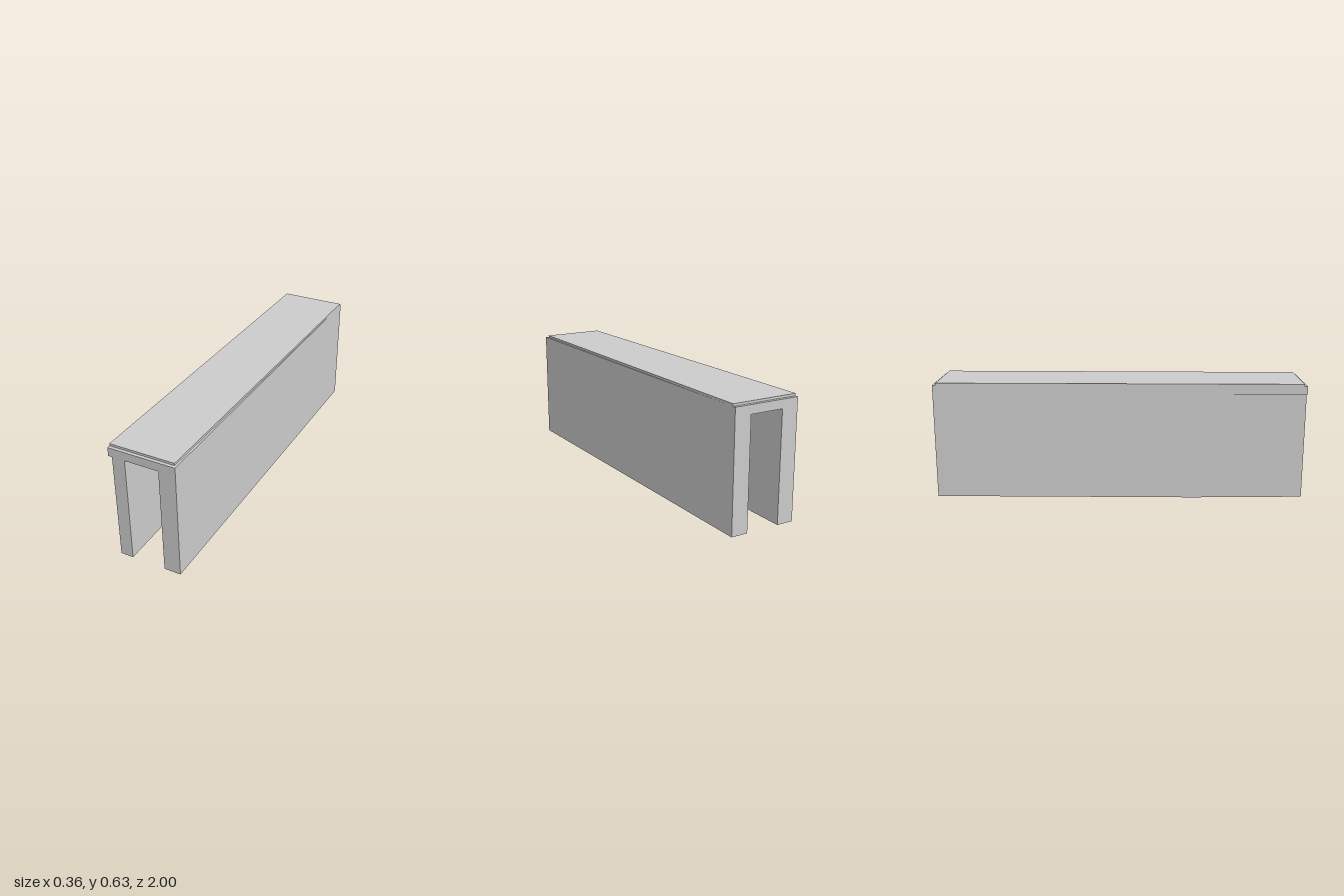
import * as THREE from 'three';

const material = new THREE.MeshStandardMaterial({ color: 0xcccccc, flatShading: true });

// Upright prism from a plan outline of [x, z] points, between heights y0 and y1
function prism(name, plan, y0, y1) {
  const shape = new THREE.Shape(plan.map(([x, z]) => new THREE.Vector2(x, -z)));
  const geometry = new THREE.ExtrudeGeometry(shape, { depth: y1 - y0, bevelEnabled: false });
  geometry.rotateX(-Math.PI / 2).translate(0, y0, 0);
  const mesh = new THREE.Mesh(geometry, material);
  mesh.name = name;
  return mesh;
}

export function createModel() {
  const group = new THREE.Group();
  group.name = 'channelBeam';

  const half = 0.181, inner = 0.091;
  const soffit = 0.577, deck = 0.623, top = 0.635;

  // Left wall: straight slab
  group.add(prism('leftWall', [[inner, 1], [half, 1], [half, -1], [inner, -1]], 0, soffit));

  // Right wall: outer face tapers inward towards the front end
  group.add(prism('rightWall',
    [[-inner, 1], [-inner, -1], [-half, -1], [-half, 0.4], [-0.16, 1]], 0, soffit));

  // Roof slab joining the walls, overhanging the tapered one
  group.add(prism('roofSlab', [[-half, 1], [half, 1], [half, -1], [-half, -1]], soffit, deck));

  // Thin top layer, set back at both ends and narrowing along its left edge
  group.add(prism('topLayer',
    [[-half, 0.983], [0.169, 0.983], [half, -0.983], [-half, -0.983]], deck, top));

  return group;
}
